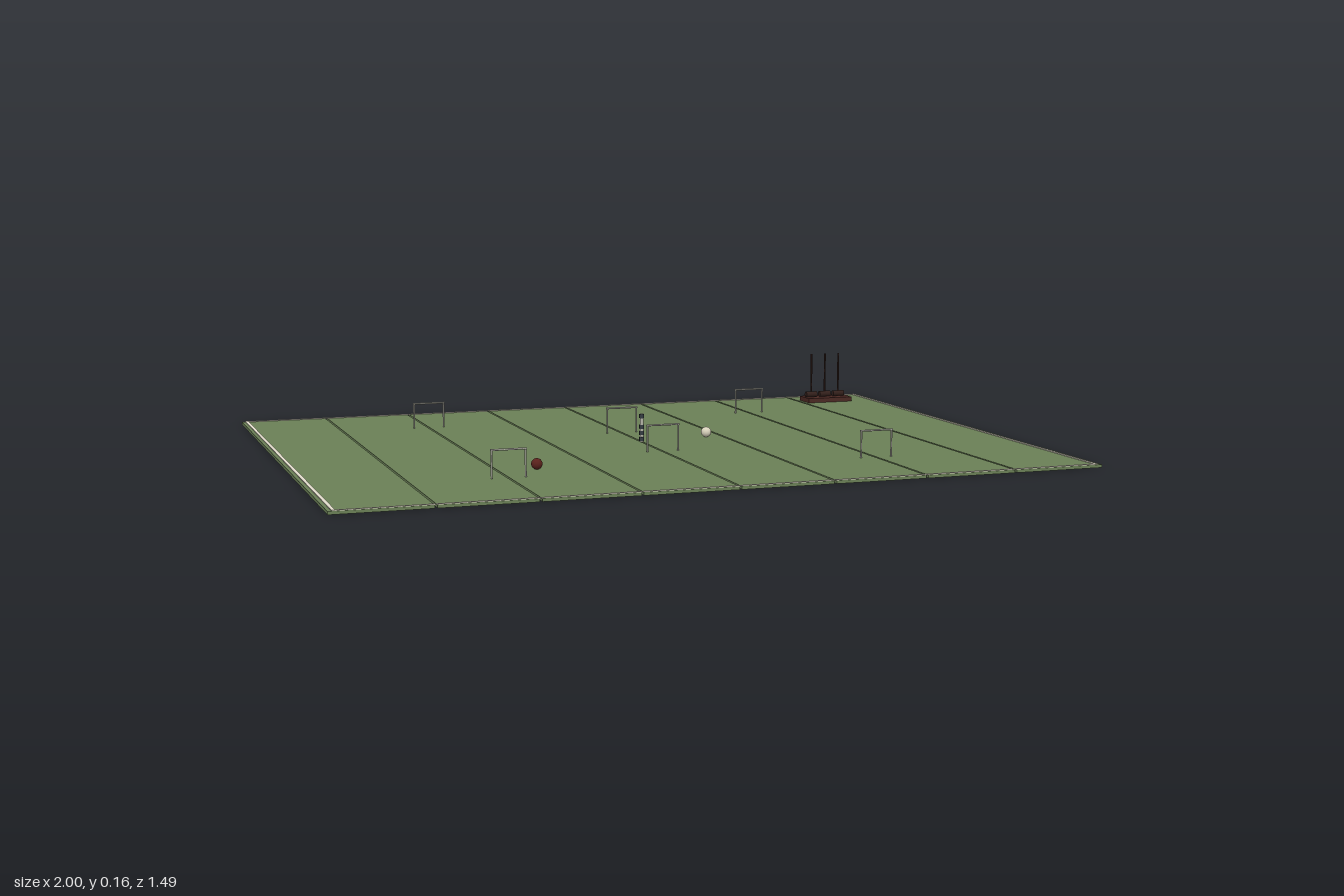
import * as THREE from 'three';

export function createModel() {
  const root = new THREE.Group();
  const mat = (name, color) => {
    const m = new THREE.MeshStandardMaterial({ color });
    m.name = name;
    return m;
  };
  const grass = mat('grass green', 0x6a7f56);
  const chalk = mat('chalk white', 0xe2dccb);
  const iron = mat('hoop grey', 0xb4b3a8);
  const wood = mat('dark wood', 0x4a2822);
  const handleWood = mat('mallet brown', 0x33201b);
  const red = mat('ball red', 0x5a221c);
  const cream = mat('ball cream', 0xd8d2bc);
  const slate = mat('peg slate', 0x343c42);

  const add = (parent, name, geo, material, x, y, z) => {
    const m = new THREE.Mesh(geo, material);
    m.name = name;
    m.position.set(x, y, z);
    parent.add(m);
    return m;
  };
  const box = (w, h, d) => new THREE.BoxGeometry(w, h, d);
  const group = (name, x, z, parent = root) => {
    const g = new THREE.Group();
    g.name = name;
    g.position.set(x, 0, z);
    parent.add(g);
    return g;
  };

  // Lawn of eight mown strips with narrow open gaps
  const T = 0.008, gap = 0.006, halfZ = 0.745;
  for (let i = 0; i < 8; i++) {
    const x0 = -1 + i * 0.25 + (i > 0 ? gap / 2 : 0);
    const x1 = -0.75 + i * 0.25 - (i < 7 ? gap / 2 : 0);
    add(root, 'lawnStrip', box(x1 - x0, T, halfZ * 2), grass, (x0 + x1) / 2, T / 2, 0);
  }

  // Boundary lines
  for (const s of [-1, 1]) {
    add(root, 'sideLine', box(0.009, 0.002, 1.476), chalk, s * 0.986, T + 0.001, 0);
    add(root, 'endLine', box(1.98, 0.002, 0.007), chalk, 0, T + 0.001, s * 0.7395);
  }

  // Six hoops
  const post = new THREE.CylinderGeometry(0.0025, 0.0025, 0.072, 8);
  const bar = new THREE.CylinderGeometry(0.0025, 0.0025, 0.093, 8);
  const hoops = [[0, 0.177], [0, -0.177]];
  for (const x of [-0.5, 0.5]) for (const z of [-0.45, 0.45]) hoops.push([x, z]);
  for (const [x, z] of hoops) {
    const hoop = group('hoop', x, z);
    for (const s of [-1, 1]) add(hoop, 'hoopPost', post, iron, s * 0.0435, T + 0.036, 0);
    add(hoop, 'hoopBar', bar, iron, 0, 0.08, 0).rotation.z = Math.PI / 2;
  }

  // Centre peg with raised bands
  const peg = group('centrePeg', 0, 0);
  add(peg, 'pegShaft', new THREE.CylinderGeometry(0.005, 0.005, 0.078, 12), iron, 0, T + 0.039, 0);
  for (const y of [0.016, 0.033, 0.05, 0.08]) {
    add(peg, 'pegBand', new THREE.CylinderGeometry(0.007, 0.007, 0.011, 12), slate, 0, y, 0);
  }

  // Balls
  const ball = new THREE.SphereGeometry(0.0145, 20, 14);
  add(root, 'redBall', ball, red, -0.4, T + 0.0145, 0.35);
  add(root, 'creamBall', ball, cream, 0.2, T + 0.0145, -0.025);

  // Mallet rack with three upright mallets
  const rack = group('malletRack', 0.837, -0.628);
  add(rack, 'rackBase', box(0.148, 0.014, 0.073), wood, 0, T + 0.007, 0);
  for (let i = -1; i <= 1; i++) {
    const mallet = group('mallet', i * 0.0465 - 0.004, 0, rack);
    add(mallet, 'malletHead', new THREE.CylinderGeometry(0.009, 0.009, 0.037, 12), handleWood, 0, 0.031, 0)
      .rotation.z = Math.PI / 2;
    add(mallet, 'malletHandle', new THREE.CylinderGeometry(0.003, 0.003, 0.128, 8), handleWood, 0, 0.096, 0);
  }
  return root;
}
